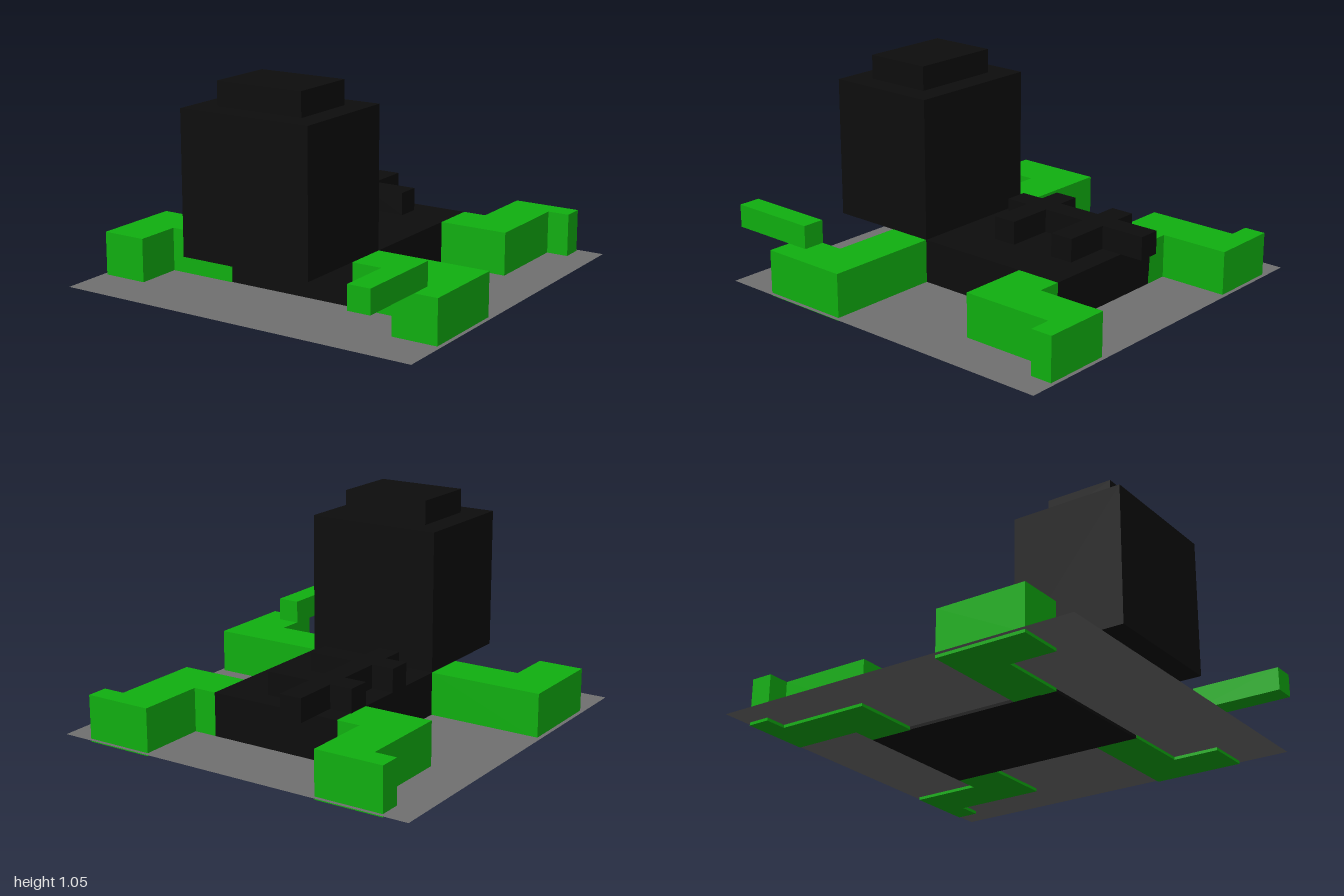
import * as THREE from 'three';

const U = 0.116; // block unit

const mat = (color) => new THREE.MeshStandardMaterial({ color });

export function createModel() {
  const model = new THREE.Group();
  const black = mat(0x0d0d0d);
  const green = mat(0x10b010);
  const grey = mat(0x707070);
  grey.side = THREE.DoubleSide;

  const add = (name, geometry, material) => {
    const mesh = new THREE.Mesh(geometry, material);
    mesh.name = name;
    model.add(mesh);
    return mesh;
  };

  // Box given by its extents on each axis
  const box = (name, material, [x0, x1], [y0, y1], [z0, z1]) =>
    add(name, new THREE.BoxGeometry(x1 - x0, y1 - y0, z1 - z0), material)
      .position.set((x0 + x1) / 2, (y0 + y1) / 2, (z0 + z1) / 2);

  // Upright slab from an outline of (x, z) points
  const slab = (name, material, outline, y0, y1) => {
    const shape = new THREE.Shape(outline.map(([x, z]) => new THREE.Vector2(x, z)));
    const geometry = new THREE.ExtrudeGeometry(shape, { depth: y1 - y0, bevelEnabled: false });
    geometry.rotateX(Math.PI / 2).translate(0, y1, 0);
    return add(name, geometry, material);
  };

  // Thin base sheet
  const base = new THREE.PlaneGeometry(1.9, 1.9).rotateX(-Math.PI / 2);
  add('base', base, grey).position.set(0, 0.015, -0.05);

  // Body, tall head block and its cap
  const low = 2 * U;
  box('body', black, [-0.35, 0.345], [0, low], [-0.63, 0.41]);
  box('head', black, [-0.35, 0.345], [low, 0.93], [0.19, 0.77]);
  box('headCap', black, [-0.232, 0.23], [0.93, 1.05], [0.305, 0.65]);

  // Bent legs, mirrored left and right
  const frontLeg = [[0.345, 0.19], [0.93, 0.19], [0.93, 0.65], [0.70, 0.65], [0.70, 0.415], [0.345, 0.415]];
  const backLeg = [
    [0.345, -0.40], [0.70, -0.40], [0.70, -0.87], [0.812, -0.87],
    [0.812, -0.98], [0.465, -0.98], [0.465, -0.63], [0.345, -0.63],
  ];
  for (const [side, s] of [['left', 1], ['right', -1]]) {
    const mirror = (points) => points.map(([x, z]) => [s * x, z]);
    slab(side + 'FrontLeg', green, mirror(frontLeg), 0, low);
    slab(side + 'BackLeg', green, mirror(backLeg), 0, low);
  }

  // Rod resting on the left front foot
  box('rod', green, [0.698, 0.812], [low, 3 * U], [0.535, 1.0]);

  // Raised double-cross ridge along the back
  const [l0, l1, r0, r1] = [-0.35, -0.235, -0.12, 0.115];
  slab('backRidge', black, [
    [l1, -0.75], [r0, -0.75],
    [r0, -0.52], [r1, -0.52], [r1, -0.40], [r0, -0.40],
    [r0, -0.17], [r1, -0.17], [r1, -0.05], [r0, -0.05],
    [r0, 0.07], [l1, 0.07],
    [l1, -0.05], [l0, -0.05], [l0, -0.17], [l1, -0.17],
    [l1, -0.40], [l0, -0.40], [l0, -0.52], [l1, -0.52],
  ], low, 3 * U);

  return model;
}
